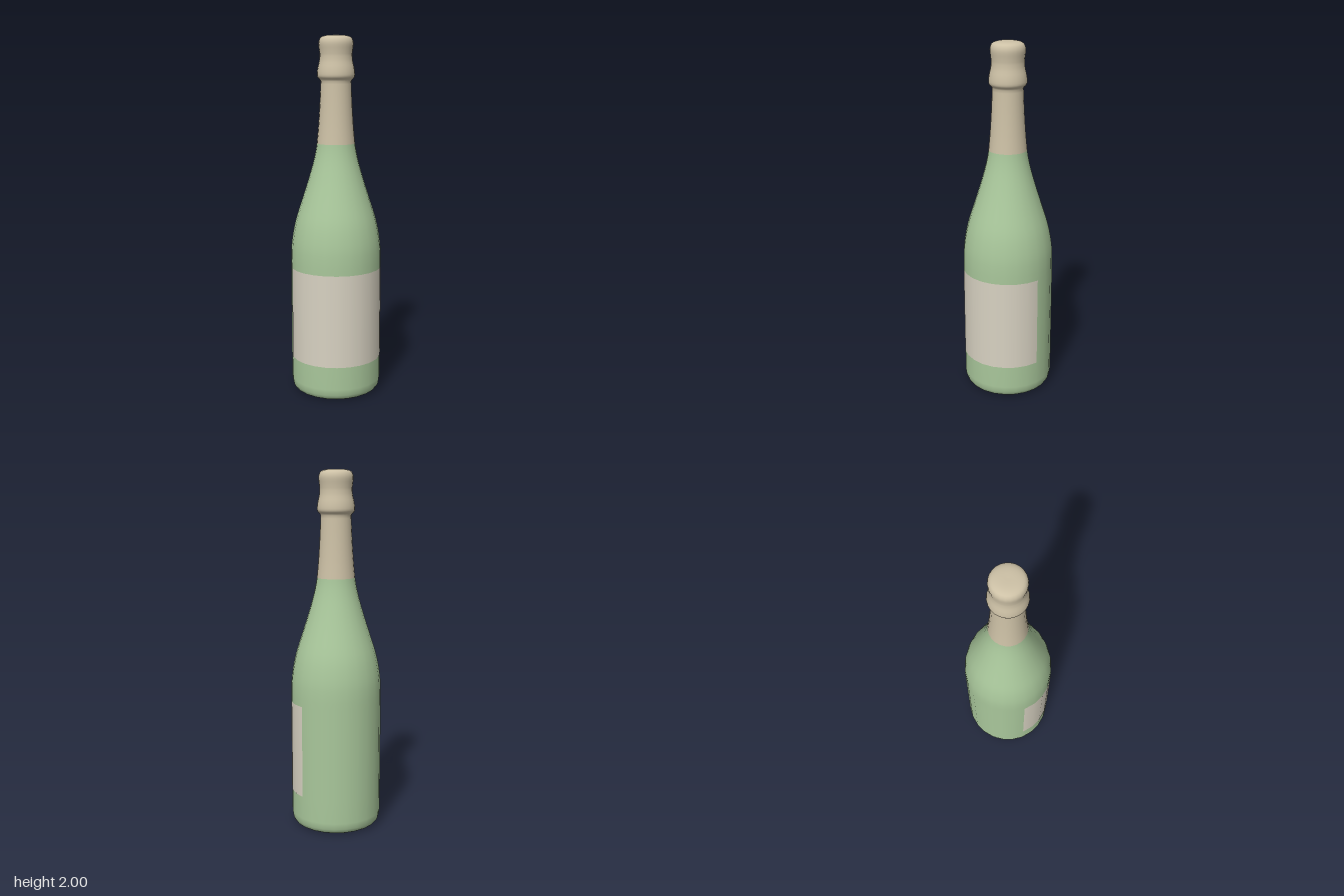
import * as THREE from 'three';

const SIDES = 24;
const R = 0.254;
const points = (list) => list.map(([r, y]) => new THREE.Vector2(r, y));
const smooth = (list, n) => new THREE.SplineCurve(points(list)).getPoints(n);

function turned(name, profile, color, sides = SIDES, start = 0, sweep = Math.PI * 2) {
  const mesh = new THREE.Mesh(
    new THREE.LatheGeometry(profile, sides, start, sweep),
    new THREE.MeshStandardMaterial({ color, side: THREE.DoubleSide })
  );
  mesh.name = name;
  return mesh;
}

export function createModel() {
  const bottle = new THREE.Group();
  bottle.name = 'bottle';

  // Hollow punt under the base, rounded up into the rim
  const punt = smooth([[0, 0.14], [0.05, 0.13], [0.11, 0.085], [0.165, 0.03], [0.185, 0.008], [0.205, 0]], 14);
  const heel = smooth([[0.215, 0.001], [0.236, 0.012], [0.249, 0.035], [R, 0.07]], 6);
  // Straight wall, then the long shoulder sweeping into the neck
  const wall = points([[R, 0.2], [R, 0.72]]);
  const shoulder = smooth([
    [R, 0.76], [0.251, 0.84], [0.24, 0.92], [0.222, 1.0], [0.19, 1.1],
    [0.158, 1.2], [0.129, 1.3], [0.113, 1.37], [0.106, 1.415]
  ], 20);
  bottle.add(turned('glassBody', [...punt, ...heel, ...wall, ...shoulder], 0xa9c79b));

  // Foil around the neck, collar and stopper
  const neck = smooth([[0.106, 1.415], [0.098, 1.5], [0.091, 1.6], [0.086, 1.7], [0.084, 1.755]], 10);
  const collar = smooth([[0.09, 1.764], [0.1, 1.774], [0.104, 1.79], [0.1, 1.825], [0.091, 1.865], [0.089, 1.9]], 12);
  const cap = smooth([[0.092, 1.925], [0.095, 1.95], [0.093, 1.97], [0.083, 1.988], [0.06, 1.997], [0.03, 2], [0, 2]], 14);
  bottle.add(turned('neckFoil', [...neck, ...collar, ...cap], 0xcdc1a6));

  // Label wrapped round the front, just past both sides
  const label = points([[R + 0.0012, 0.2], [R + 0.0012, 0.72]]);
  const step = (Math.PI * 2) / SIDES;
  bottle.add(turned('label', label, 0xd8d2c2, 14, -7 * step, 14 * step));

  return bottle;
}
